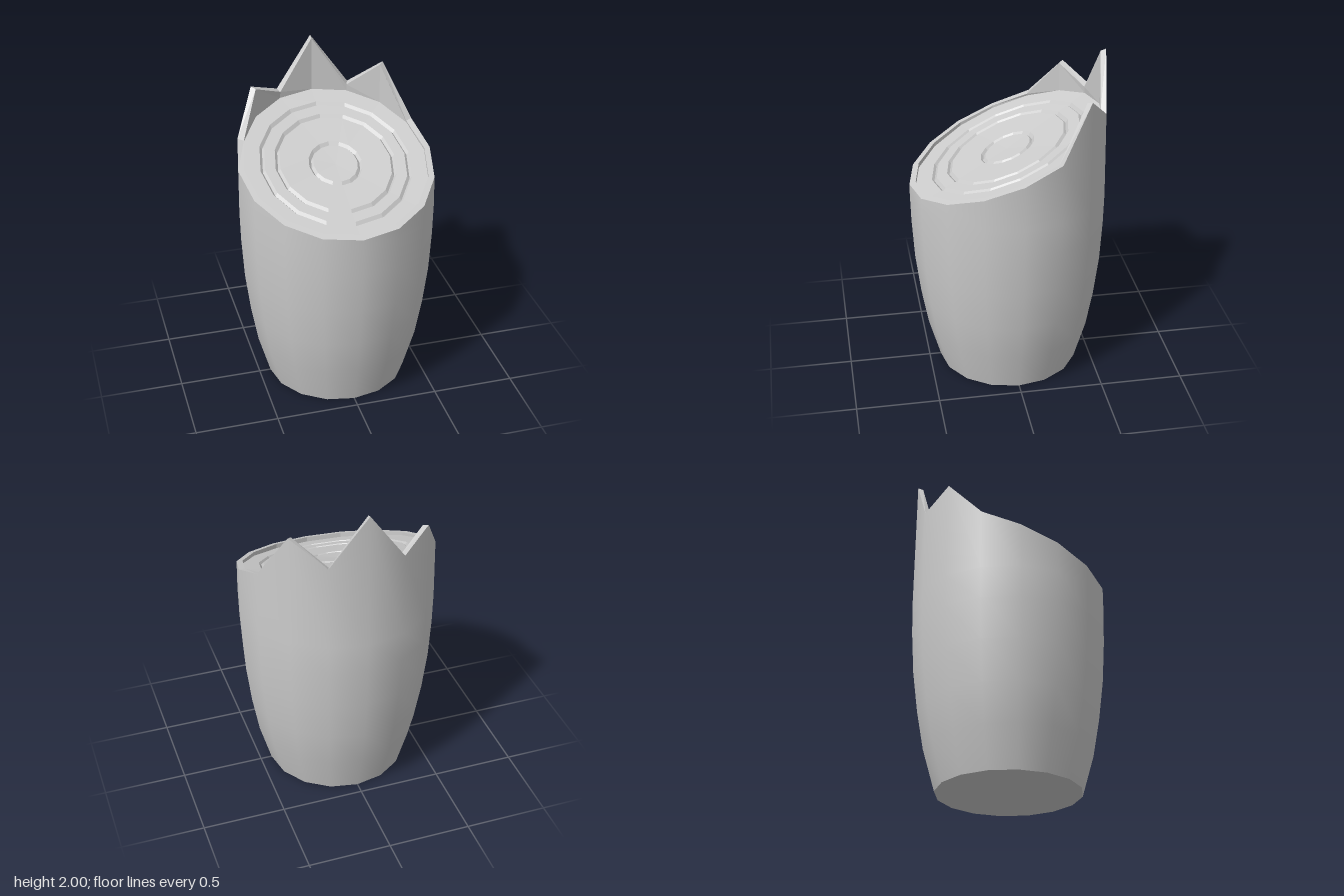
import * as THREE from 'three';
import { mergeVertices } from 'three/addons/utils/BufferGeometryUtils.js';

const SIDES = 16;
// bark outline: [radius, height]
const BARK = [[0.43, 0], [0.5, 0.25], [0.54, 0.48], [0.57, 0.73], [0.584, 0.98], [0.588, 1.17], [0.584, 1.5], [0.577, 2]];
// splinter heights by side, counted from the front; other sides follow the slanted cut
const SPLINTERS = { 5: 1.54, 6: 1.85, 7: 1.69, 8: 2, 9: 1.69, 10: 1.78, 11: 1.54 };

const barkRadius = (y) => {
  const i = Math.max(1, BARK.findIndex((p) => p[1] >= y));
  const [a, b] = [BARK[i - 1], BARK[i]];
  return a[0] + (b[0] - a[0]) * (y - a[1]) / (b[1] - a[1]);
};
const cutHeight = (z) => 1.445 - 0.38 * z;
const faceHeight = (r, z) => 1.41 + 0.02 * (r / 0.55) - 0.41 * z;

// outer corner of the broken rim on side k
function rimOuter(k) {
  const y = SPLINTERS[k] ?? cutHeight(0.588 * Math.cos((k / SIDES) * Math.PI * 2));
  return [barkRadius(y), y];
}

// inner corner of the broken rim on side k
function rimInner(k) {
  if (SPLINTERS[k]) return [0.545, SPLINTERS[k] - 0.01];
  return [0.55, cutHeight(0.55 * Math.cos((k / SIDES) * Math.PI * 2))];
}

// lathe whose points are moved by rule(row, side, radius, height, z) -> [radius, height]
function shapedLathe(name, profile, rule, smooth) {
  let g = new THREE.LatheGeometry(profile.map((p) => new THREE.Vector2(...p)), SIDES);
  const pos = g.attributes.position;
  for (let i = 0; i < pos.count; i++) {
    const row = i % profile.length;
    const side = Math.floor(i / profile.length) % SIDES;
    const a = (side / SIDES) * Math.PI * 2;
    const [r0, y0] = profile[row];
    const [r, y] = rule(row, side, r0, y0, r0 * Math.cos(a));
    pos.setXYZ(i, r * Math.sin(a), y, r * Math.cos(a));
  }
  g.deleteAttribute('uv');
  g.deleteAttribute('normal');
  g = mergeVertices(g, 1e-5);
  g.computeVertexNormals();
  const mesh = new THREE.Mesh(g, new THREE.MeshStandardMaterial({
    color: 0xcccccc, flatShading: !smooth, side: THREE.DoubleSide,
  }));
  mesh.name = name;
  return mesh;
}

export function createModel() {
  const stump = new THREE.Group();
  stump.name = 'treeStump';

  // bulging bark with a jagged top edge
  const barkRows = BARK.slice(0, 7);
  stump.add(shapedLathe('bark', barkRows,
    (row, k, r, y) => (row === barkRows.length - 1 ? rimOuter(k) : [r, y]), true));

  // flat underside
  stump.add(shapedLathe('base', [[0, 0], [0.43, 0]], (row, k, r, y) => [r, y], false));

  // thickness of the broken rim and its inner wall down to the cut face
  stump.add(shapedLathe('rim', [[0.588, 0], [0.55, 0], [0.55, 0]], (row, k, r, y, z) => {
    if (row === 0) return rimOuter(k);
    return row === 1 ? rimInner(k) : [r, faceHeight(r, z)];
  }, false));

  // slanted cut face with V-shaped growth-ring grooves (height column = offset)
  const face = [[0.55, 0]];
  for (const r of [0.453, 0.362, 0.16]) face.push([r, 0], [r - 0.014, -0.016], [r - 0.028, 0]);
  face.push([0, 0]);
  stump.add(shapedLathe('cutFace', face, (row, k, r, y, z) => [r, faceHeight(r, z) + y], false));

  return stump;
}
